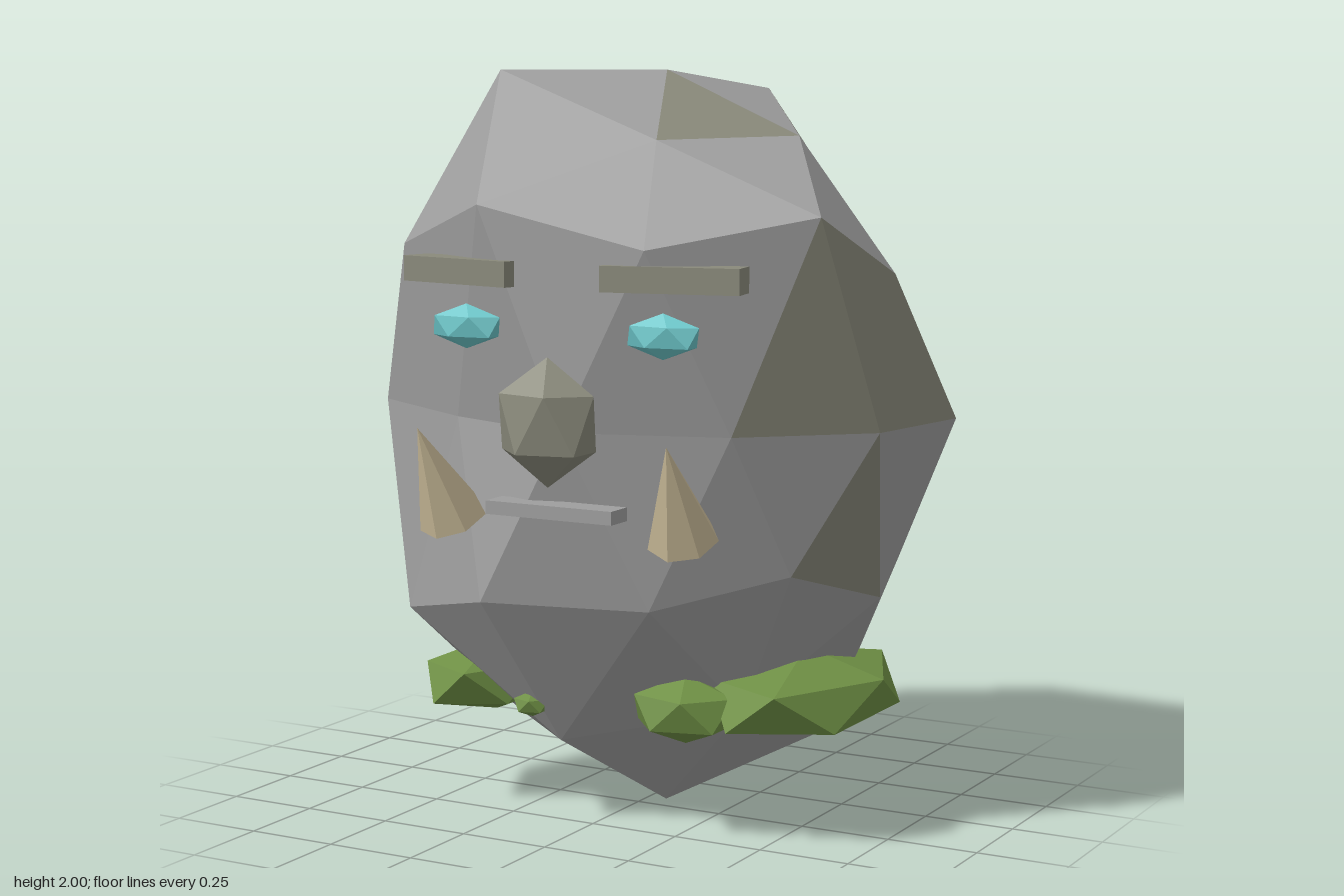
import * as THREE from 'three';

const mat = (name, color, extra = {}) => {
  const m = new THREE.MeshStandardMaterial({ color, flatShading: true, ...extra });
  m.name = name;
  return m;
};

// Icosphere with a vertex at the top and an upper corner on +x
const icosphere = (detail) =>
  new THREE.IcosahedronGeometry(1, detail).rotateZ(-Math.atan(2 / (1 + Math.sqrt(5))));

// Rings of the head from top to bottom: key, unit height, first angle, angle step, radial bulges
const RINGS = [
  ['P', 1, 0, 360, [0.91]],
  ['A', 0.8507, 0, 72, [0.87, 0.86, 1.07, 0.98, 1.01]],
  ['M', 0.5257, 36, 72, [1.046, 1.085, 0.945, 1.095, 0.825]],
  ['V', 0.4472, 0, 72, [0.873, 1.05, 1.0, 1.035, 1.1]],
  ['E', 0, 18, 36, [0.87, 0.836, 0.88, 0.8, 0.96, 1.07, 0.976, 0.92, 1.005, 0.94]],
  ['v', -0.4472, 36, 72, [0.83, 1.03, 0.86, 1.1, 0.9]],
  ['m', -0.5257, 0, 72, [0.875, 0.88, 1.046, 0.97, 0.96]],
  ['a', -0.8507, 36, 72, [0.9, 1.02, 1.05, 0.92, 1.05]],
  ['p', -1, 0, 360, [1.09]],
];

// Facets in the weathered colour, by their three corners
const WEATHERED = new Set([
  'A0 A1 P0', 'E0 M0 V0', 'E0 E9 V0', 'E0 E1 M0', 'E0 m0 v0',
  'A0 A4 M4', 'A3 M3 V3', 'E6 E7 M3', 'E6 M3 V3',
]);

// Lumpy boulder: each corner is pushed in or out from the centre
function headGeometry() {
  const src = icosphere(1).getAttribute('position');
  const plain = [], weathered = [];
  for (let f = 0; f < src.count; f += 3) {
    const keys = [], pts = [];
    for (let i = f; i < f + 3; i++) {
      const p = new THREE.Vector3().fromBufferAttribute(src, i);
      const [key, , start, step, bulge] = RINGS.find((r) => Math.abs(r[1] - p.y) < 0.03);
      const angle = THREE.MathUtils.radToDeg(Math.atan2(p.z, p.x)) - start;
      const n = bulge.length;
      const k = n === 1 ? 0 : ((Math.round(angle / step) % n) + n) % n;
      keys.push(key + k);
      p.multiplyScalar(bulge[k]);
      pts.push(0.053 + p.x * 0.857, 1.09 + p.y, -0.063 + p.z * 0.645);
    }
    (WEATHERED.has(keys.sort().join(' ')) ? weathered : plain).push(...pts);
  }
  const g = new THREE.BufferGeometry();
  g.setAttribute('position', new THREE.Float32BufferAttribute([...plain, ...weathered], 3));
  g.addGroup(0, plain.length / 3, 0);
  g.addGroup(plain.length / 3, weathered.length / 3, 1);
  g.computeVertexNormals();
  return g;
}

export function createModel() {
  const group = new THREE.Group();
  const stone = mat('stone', 0x9e9e9e);
  const weathered = mat('weatheredStone', 0x8a8a7b);
  const moss = mat('moss', 0x6f9045);
  const crystal = mat('eyeCrystal', 0x6cc6c9);
  const ivory = mat('ivory', 0xc9ba98);

  const add = (name, geometry, material, pos = [0, 0, 0], scale = [1, 1, 1], rot = [0, 0, 0]) => {
    const mesh = new THREE.Mesh(geometry, material);
    mesh.name = name;
    mesh.position.set(...pos);
    mesh.scale.set(...scale);
    mesh.rotation.set(...rot);
    group.add(mesh);
  };

  add('head', headGeometry(), [stone, weathered]);

  // Face
  const gem = icosphere(0);
  const bar = new THREE.BoxGeometry(1, 1, 1);
  const cone = new THREE.ConeGeometry(0.092, 0.285, 7);
  add('nose', gem, weathered, [0.06, 1.125, 0.575], [0.15, 0.165, 0.105]);
  add('mouth', bar, stone, [0.05, 0.893, 0.52], [0.37, 0.035, 0.08]);
  for (const s of [-1, 1]) {
    const side = s > 0 ? 'left' : 'right';
    add(side + 'Brow', bar, weathered, [0.052 + s * 0.306, 1.488, 0.46],
      [0.36, 0.066, 0.09], [0, s * 0.2, 0]);
    add(side + 'Eye', gem, crystal, [0.057 + s * 0.288, 1.348, 0.493], [0.113, 0.058, 0.046]);
    add(side + 'Tusk', cone, ivory, [0.052 + s * 0.352, 0.965, 0.54],
      [1, 1, 1], [0.48, 0, -s * 0.08]);
  }

  // Mossy collar: clumps of different sizes around the jaw
  const clumps = [
    [[0.49, 0.362, -0.04], [0.25, 0.12, 0.395]],
    [[0.265, 0.34, 0.22], [0.16, 0.092, 0.135]],
    [[-0.42, 0.332, 0.06], [0.18, 0.104, 0.29]],
    [[-0.15, 0.325, 0.31], [0.056, 0.035, 0.056]],
    [[0.28, 0.35, -0.35], [0.056, 0.045, 0.056]],
    [[0, 0.34, -0.4], [0.056, 0.045, 0.056]],
    [[-0.25, 0.33, -0.32], [0.06, 0.045, 0.06]],
  ];
  for (const [pos, scale] of clumps) add('mossClump', gem, moss, pos, scale);

  return group;
}
